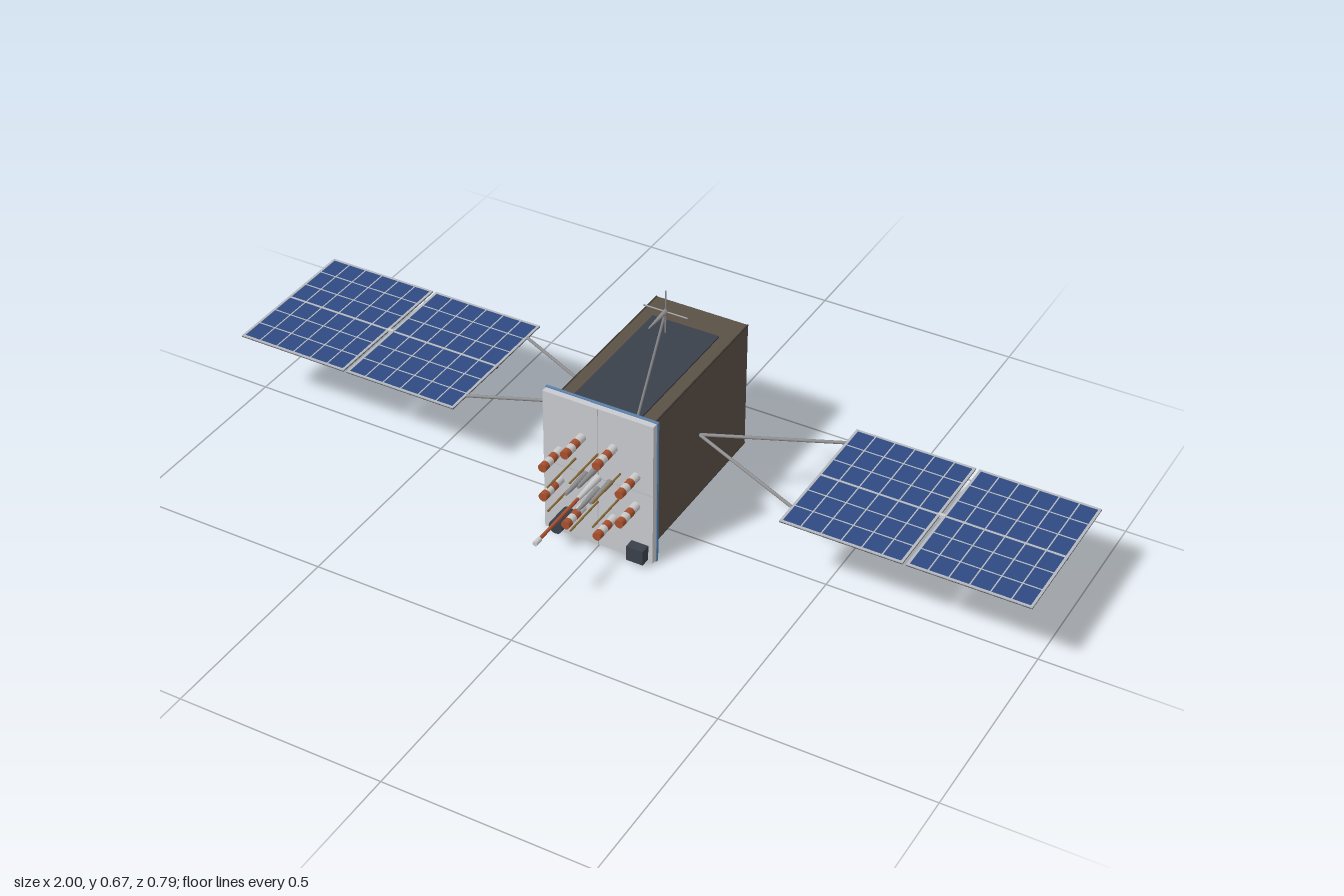
import * as THREE from 'three';

const mat = (color) => new THREE.MeshStandardMaterial({ color });
const M = {
  foil: mat(0x5a5046), trim: mat(0x403830), plate: mat(0xc8cacf), blue: mat(0x5a83ad),
  dark: mat(0x3a404a), rear: mat(0x7c8796), metal: mat(0x8c8c8e), white: mat(0xd2d2d2),
  red: mat(0xa8502e), brass: mat(0x8a6a35), cell: mat(0x2e4a82), grid: mat(0xb4b8be), back: mat(0x55565a),
};
const V = (x, y, z) => new THREE.Vector3(x, y, z);
const CY = 0.19; // height of the central axis

function add(parent, name, geo, material, x = 0, y = 0, z = 0) {
  const m = new THREE.Mesh(geo, material);
  m.name = name;
  m.position.set(x, y, z);
  parent.add(m);
  return m;
}

// Box given by its minimum and maximum corners
function box(parent, name, material, x0, x1, y0, y1, z0, z1) {
  return add(parent, name, new THREE.BoxGeometry(x1 - x0, y1 - y0, z1 - z0), material,
    (x0 + x1) / 2, (y0 + y1) / 2, (z0 + z1) / 2);
}

// Round rod from a to b with a radius at each end
function rod(parent, name, material, a, b, ra, rb = ra, sides = 12) {
  const d = b.clone().sub(a);
  const m = add(parent, name, new THREE.CylinderGeometry(rb, ra, d.length(), sides), material);
  m.position.copy(a).add(b).multiplyScalar(0.5);
  m.quaternion.setFromUnitVectors(V(0, 1, 0), d.normalize());
  return m;
}
const rodZ = (p, name, m, x, y, z0, z1, r0, r1 = r0, s = 16) => rod(p, name, m, V(x, y, z0), V(x, y, z1), r0, r1, s);

function makeBody() {
  const g = new THREE.Group();
  g.name = 'body';
  box(g, 'hull', M.foil, -0.118, 0.118, 0.025, 0.355, -0.342, 0.11);
  box(g, 'topRadiator', M.dark, -0.085, 0.085, 0.354, 0.359, -0.265, 0.085);
  box(g, 'bottomPanel', M.dark, -0.075, 0.075, 0.022, 0.026, -0.24, 0.065);
  box(g, 'bottomInset', M.rear, -0.05, 0.05, 0.0195, 0.023, -0.135, 0.065);
  box(g, 'rearPanel', M.rear, -0.093, 0.093, 0.05, 0.33, -0.347, -0.341);
  // dark trim along the long edges
  for (const s of [-1, 1]) for (const y of [0.0255, 0.3545])
    box(g, 'edgeTrim', M.trim, s * 0.1175 - 0.0015, s * 0.1175 + 0.0015, y - 0.0015, y + 0.0015, -0.3425, 0.11);
  // flared engine bell, open to the rear
  const bell = [[0, 0.002], [0.012, 0.002], [0.033, 0.05], [0.038, 0.05], [0.018, 0]]
    .map(([r, h]) => new THREE.Vector2(r, h));
  const bellMat = mat(0x4a423b);
  bellMat.side = THREE.DoubleSide;
  bellMat.flatShading = true;
  add(g, 'engineBell', new THREE.LatheGeometry(bell, 20), bellMat, 0, CY, -0.346).rotation.x = -Math.PI / 2;
  return g;
}

function makeFrontDeck() {
  const g = new THREE.Group();
  g.name = 'frontDeck';
  box(g, 'deckBacking', M.blue, -0.14, 0.14, 0, 0.378, 0.108, 0.115);
  box(g, 'deckPlate', M.plate, -0.138, 0.138, 0.004, 0.376, 0.114, 0.13);
  box(g, 'deckSeam', M.grid, -0.138, 0.138, CY - 0.001, CY + 0.001, 0.129, 0.1305);
  box(g, 'deckSeam', M.grid, -0.001, 0.001, 0.004, 0.376, 0.129, 0.1305);

  // outer ring of banded antennas
  for (let i = 0; i < 8; i++) {
    const a = (i + 0.5) * Math.PI / 4, x = 0.104 * Math.cos(a), y = CY + 0.104 * Math.sin(a);
    [0.13, 0.153, 0.172, 0.19, 0.206].forEach((z, k, zs) => {
      if (k) rodZ(g, 'bandedAntenna', k % 2 ? M.white : M.red, x, y, zs[k - 1], z, 0.0105);
    });
  }
  // middle ring of thin rods
  for (let i = 0; i < 6; i++) {
    const a = Math.PI / 6 + i * Math.PI / 3;
    rodZ(g, 'thinAntenna', M.brass, 0.065 * Math.cos(a), CY + 0.065 * Math.sin(a), 0.13, 0.25, 0.0025, 0.0025, 8);
  }
  // inner ring of tapered rods
  for (let i = 0; i < 4; i++) {
    const a = i * Math.PI / 2, x = 0.031 * Math.cos(a), y = CY + 0.031 * Math.sin(a);
    rodZ(g, 'innerAntenna', M.metal, x, y, 0.13, 0.215, 0.008, 0.004);
  }
  // long central probe
  rodZ(g, 'probeBase', M.white, 0, CY, 0.13, 0.216, 0.009, 0.005);
  rodZ(g, 'probeRod', M.red, 0, CY, 0.216, 0.376, 0.004);
  rodZ(g, 'probeTip', M.white, 0, CY, 0.376, 0.396, 0.006);
  // sensors
  rodZ(g, 'roundSensor', M.dark, -0.075, 0.064, 0.13, 0.19, 0.017, 0.017, 24);
  box(g, 'squareSensor', M.dark, 0.085, 0.127, 0.012, 0.05, 0.13, 0.155);
  return g;
}

function makeMast() {
  const g = new THREE.Group();
  g.name = 'antennaMast';
  const top = V(0.118, 0.618, 0.045);
  rod(g, 'mastBoom', M.metal, V(0.08, 0.356, 0.1), top, 0.003, 0.003, 8);
  rod(g, 'crossVertical', M.metal, V(top.x, 0.565, top.z), V(top.x, 0.67, top.z), 0.0018, 0.0018, 8);
  rod(g, 'crossHorizontal', M.metal, V(top.x - 0.053, top.y, top.z), V(top.x + 0.053, top.y, top.z), 0.0018, 0.0018, 8);
  rodZ(g, 'mastCone', M.metal, top.x, top.y, top.z, 0.117, 0.006, 0.0015);
  return g;
}

// One solar wing on side s (+1 or -1)
function makeWing(s) {
  const g = new THREE.Group();
  g.name = s > 0 ? 'leftWing' : 'rightWing';
  const zc = -0.12, z0 = -0.31, z1 = 0.07;
  const wbox = (name, m, xa, xb, y0, y1, za, zb) =>
    box(g, name, m, Math.min(s * xa, s * xb), Math.max(s * xa, s * xb), y0, y1, za, zb);
  for (const z of [-0.255, 0.012])
    rod(g, 'wingStrut', M.metal, V(s * 0.117, CY, zc), V(s * 0.415, CY, z), 0.004, 0.004, 8);
  for (const [xa, xb] of [[0.414, 0.705], [0.713, 1]]) {
    wbox('panelBack', M.back, xa, xb, CY - 0.002, CY, z0, z1);
    wbox('solarCells', M.cell, xa + 0.001, xb - 0.001, CY, CY + 0.0015, z0 + 0.001, z1 - 0.001);
    wbox('panelSpar', M.trim, xa, xb, CY - 0.004, CY - 0.002, zc - 0.004, zc + 0.004);
    // grid lines, thicker at the border and middle
    for (let i = 0; i <= 6; i++) {
      const w = i % 6 ? 0.0015 : 0.003;
      const x = xa + w + (xb - xa - 2 * w) * i / 6;
      wbox('gridLine', M.grid, x - w, x + w, CY, CY + 0.0022, z0, z1);
      const h = i % 3 ? 0.0015 : 0.003;
      const z = z0 + h + (z1 - z0 - 2 * h) * i / 6;
      wbox('gridLine', M.grid, xa, xb, CY, CY + 0.0022, z - h, z + h);
    }
  }
  wbox('panelHinge', M.white, 0.7, 0.718, CY - 0.004, CY + 0.004, zc - 0.004, zc + 0.004);
  return g;
}

export function createModel() {
  const model = new THREE.Group();
  model.name = 'satellite';
  model.add(makeBody(), makeFrontDeck(), makeMast(), makeWing(1), makeWing(-1));
  return model;
}
